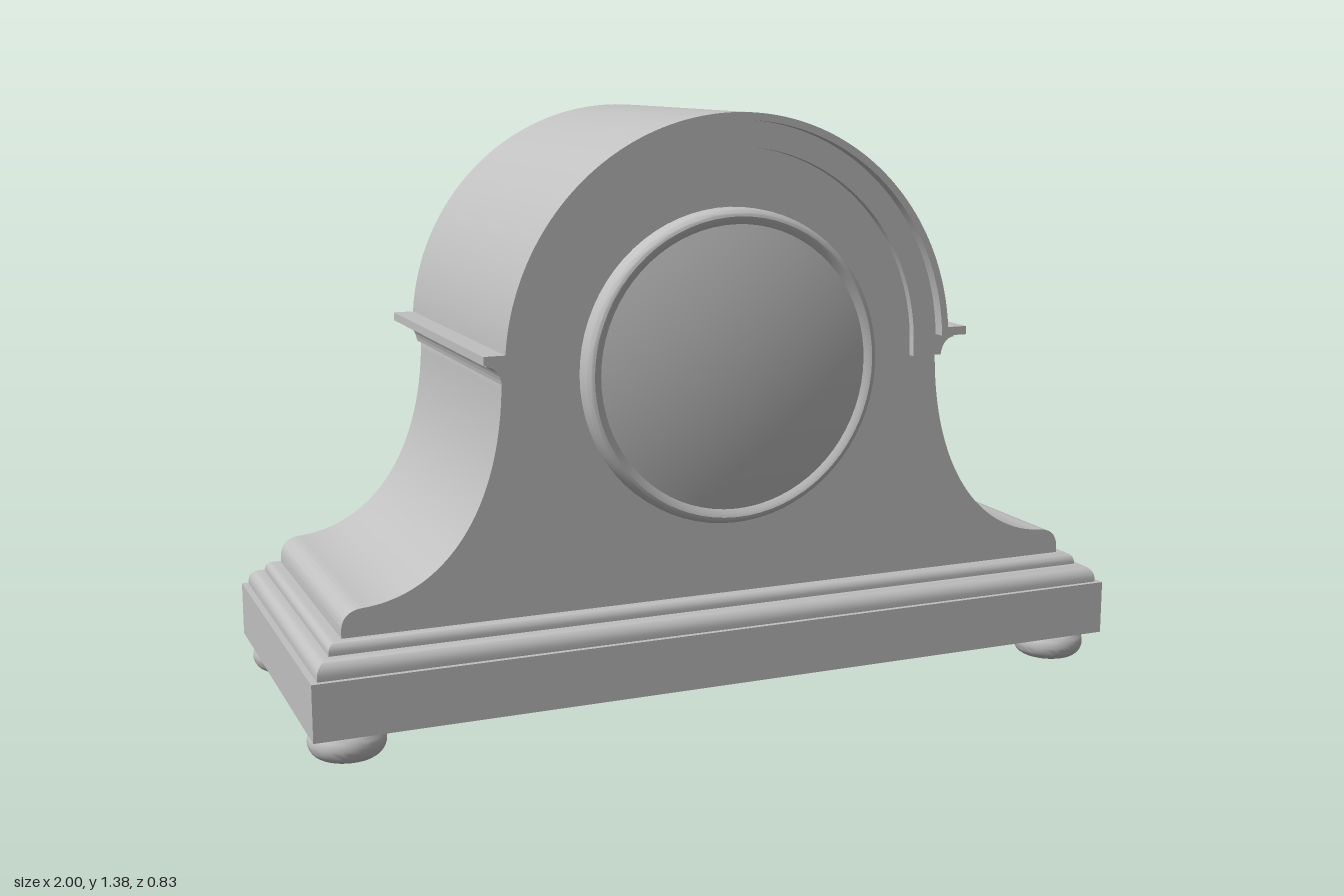
import * as THREE from 'three';
import { toCreasedNormals } from 'three/addons/utils/BufferGeometryUtils.js';

const ARCH_Y = 0.83; // centre height of the arched top
const DIAL_Y = 0.805; // centre height of the dial

export function createModel() {
  const model = new THREE.Group();
  const grey = new THREE.MeshStandardMaterial({ color: 0xc0c0c0 });
  grey.name = 'plain grey';

  const add = (name, geometry, x = 0, y = 0, z = 0) => {
    const mesh = new THREE.Mesh(toCreasedNormals(geometry, 0.55), grey);
    mesh.name = name;
    mesh.position.set(x, y, z);
    model.add(mesh);
  };
  // outline in the front plane, extruded to z = +-half
  const slab = (shape, half) => new THREE.ExtrudeGeometry(shape, {
    depth: half * 2, bevelEnabled: false, curveSegments: 48,
  }).translate(0, 0, -half);
  const lathe = (points, segments = 72) =>
    new THREE.LatheGeometry(points.map(([r, y]) => new THREE.Vector2(r, y)), segments);
  // quarter-circle profile from the side (r, y) round to the top
  const round = (r, y, rx, ry, n = 6) => Array.from({ length: n + 1 }, (_, i) => {
    const a = (i / n) * Math.PI / 2;
    return [r - rx + rx * Math.cos(a), y + ry * Math.sin(a)];
  });

  // Plinth
  add('plinth', new THREE.BoxGeometry(2, 0.13, 0.83), 0, 0.135, 0);

  // Stepped mouldings with rounded upper edges; the lower bevel is sunk out of sight
  const moulding = (name, hx, hz, top, bevel) => {
    const x = hx - bevel, z = hz - bevel;
    const shape = new THREE.Shape();
    shape.moveTo(-x, -z).lineTo(x, -z).lineTo(x, z).lineTo(-x, z).closePath();
    const geo = new THREE.ExtrudeGeometry(shape, {
      depth: 0.03, bevelThickness: bevel, bevelSize: bevel, bevelSegments: 6,
    }).rotateX(-Math.PI / 2);
    add(name, geo, 0, top - bevel - 0.03, 0);
  };
  moulding('lowerMoulding', 0.985, 0.403, 0.24, 0.03);
  moulding('upperMoulding', 0.95, 0.362, 0.267, 0.02);

  // Bun feet
  for (const x of [-0.907, 0.907]) for (const z of [-0.32, 0.32]) {
    const profile = [[0, 0]];
    for (let i = 0; i <= 14; i++) {
      const a = -Math.PI / 2 + (i / 14) * Math.PI;
      profile.push([0.052 + 0.035 * Math.cos(a), 0.036 + 0.036 * Math.sin(a)]);
    }
    profile.push([0, 0.072]);
    add('foot', lathe(profile, 40), x, 0, z);
  }

  // Case body: arched top flowing into concave shoulders
  const body = new THREE.Shape();
  body.moveTo(-0.915, 0.26).lineTo(0.915, 0.26).lineTo(0.915, 0.285);
  body.quadraticCurveTo(0.912, 0.325, 0.87, 0.33);
  body.bezierCurveTo(0.68, 0.34, 0.55, 0.52, 0.545, 0.80);
  body.lineTo(0.535, ARCH_Y).absarc(0, ARCH_Y, 0.535, 0, Math.PI, false);
  body.lineTo(-0.545, 0.80);
  body.bezierCurveTo(-0.55, 0.52, -0.68, 0.34, -0.87, 0.33);
  body.quadraticCurveTo(-0.912, 0.325, -0.915, 0.285).closePath();
  add('caseBody', slab(body, 0.333));

  // Inner arch band ending in a cove under each ledge
  const band = new THREE.Shape();
  band.moveTo(0.475, 0.80).lineTo(0.55, 0.80);
  band.quadraticCurveTo(0.555, 0.838, 0.585, 0.842).lineTo(0.585, 0.855).lineTo(0.54, 0.855);
  band.absarc(0, ARCH_Y, 0.54, 0.046, Math.PI - 0.046, false);
  band.lineTo(-0.585, 0.855).lineTo(-0.585, 0.842);
  band.quadraticCurveTo(-0.555, 0.838, -0.55, 0.80).lineTo(-0.475, 0.80);
  band.lineTo(-0.475, ARCH_Y).absarc(0, ARCH_Y, 0.475, Math.PI, 0, true);
  band.closePath();
  add('archBand', slab(band, 0.352));

  // Outer hood with flat side ledges
  const hood = new THREE.Shape();
  const t = Math.asin(0.04 / 0.552), s = Math.asin(0.02 / 0.535);
  hood.moveTo(0.535, 0.85).lineTo(0.6, 0.85).lineTo(0.6, 0.87);
  hood.absarc(0, ARCH_Y, 0.552, t, Math.PI - t, false);
  hood.lineTo(-0.6, 0.87).lineTo(-0.6, 0.85);
  hood.absarc(0, ARCH_Y, 0.535, Math.PI - s, s, true);
  hood.closePath();
  add('hood', slab(hood, 0.382));

  // Dial bezel, domed glass and rear cover
  const front = Math.PI / 2;
  add('bezel', lathe([[0.364, 0.32], ...round(0.364, 0.355, 0.018, 0.028),
    [0.338, 0.38], [0.326, 0.368], [0.326, 0.34]]).rotateX(front), 0, DIAL_Y, 0);
  const dome = [];
  for (let i = 0; i <= 12; i++) {
    const r = 0.328 * (1 - i / 12);
    dome.push([r, 0.41 - 0.036 * (r / 0.328) ** 2]);
  }
  add('dialGlass', lathe(dome).rotateX(front), 0, DIAL_Y, 0);
  add('rearCover', lathe([[0.364, 0.32], ...round(0.364, 0.335, 0.02, 0.02), [0, 0.355]])
    .rotateX(-front), 0, DIAL_Y, 0);

  return model;
}
